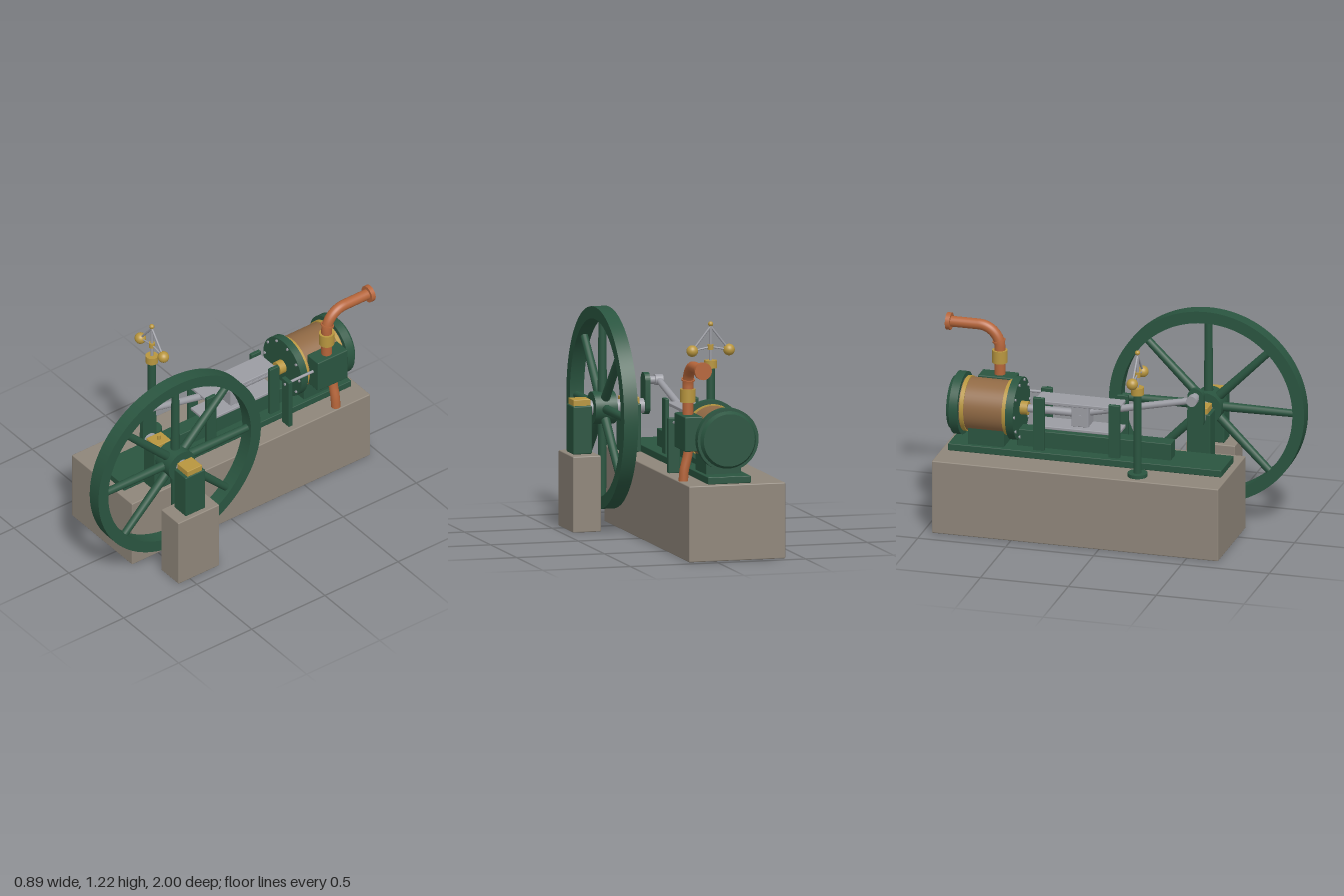
import * as THREE from 'three';
import { toCreasedNormals } from 'three/addons/utils/BufferGeometryUtils.js';
import { RoundedBoxGeometry } from 'three/addons/geometries/RoundedBoxGeometry.js';

const material = (name, color) => {
  const m = new THREE.MeshStandardMaterial({ color });
  m.name = name;
  return m;
};

export function createModel() {
  const stone = material('stone', 0x8f867a);
  const green = material('green paint', 0x2a5540);
  const brass = material('brass', 0xb8963f);
  const copper = material('copper', 0xb5653a);
  const wood = material('wood lagging', 0x916a45);
  const steel = material('steel', 0x9b9ca3);

  const model = new THREE.Group();
  model.name = 'steamEngine';
  const V = (x, y, z) => new THREE.Vector3(x, y, z);

  const add = (name, geometry, mat, parent = model) => {
    const mesh = new THREE.Mesh(geometry, mat);
    mesh.name = name;
    parent.add(mesh);
    return mesh;
  };
  // Box given by its limits on each axis
  const box = (name, mat, x0, x1, y0, y1, z0, z1, r = 0.004) => {
    const g = new RoundedBoxGeometry(x1 - x0, y1 - y0, z1 - z0, 2, r);
    g.translate((x0 + x1) / 2, (y0 + y1) / 2, (z0 + z1) / 2);
    return add(name, g, mat);
  };
  // Round bar from a to b
  const rod = (name, mat, a, b, r0, r1 = r0, sides = 24, parent = model) => {
    const dir = b.clone().sub(a);
    const mesh = add(name, new THREE.CylinderGeometry(r1, r0, dir.length(), sides), mat, parent);
    mesh.position.copy(a).add(b).multiplyScalar(0.5);
    mesh.quaternion.setFromUnitVectors(V(0, 1, 0), dir.normalize());
    return mesh;
  };
  const ball = (name, mat, p, r) => {
    const mesh = add(name, new THREE.SphereGeometry(r, 24, 16), mat);
    mesh.position.copy(p);
    return mesh;
  };

  // Foundations
  box('mainPlinth', stone, -0.4, 0.15, 0, 0.42, -0.95, 0.68, 0.006);
  box('outerPlinth', stone, 0.28, 0.44, 0, 0.42, 0.3, 0.58, 0.006);

  // Bed plate and raised rail
  box('bedPlate', green, -0.215, 0.03, 0.42, 0.46, -0.91, 0.645);
  box('bedRail', green, -0.137, -0.047, 0.455, 0.555, -0.54, 0.335);

  // Crankshaft line
  const axisY = 0.665, axisZ = 0.445, cx = -0.09;
  rod('crankshaft', steel, V(-0.02, axisY, axisZ), V(0.4, axisY, axisZ), 0.042);

  // Bearings with brass caps
  for (const [x0, x1] of [[0.028, 0.132], [0.308, 0.415]]) {
    box('bearingPedestal', green, x0, x1, 0.42, 0.685, 0.378, 0.512, 0.006);
    box('bearingCap', brass, x0 + 0.004, x1 - 0.006, 0.68, 0.72, 0.395, 0.495);
  }
  rod('oilCup', brass, V(0.08, 0.715, axisZ), V(0.08, 0.747, axisZ), 0.011);

  // Flywheel
  const wheel = new THREE.Group();
  wheel.name = 'flywheel';
  wheel.position.set(0.23, axisY, axisZ);
  model.add(wheel);
  const rimShape = new THREE.Shape().absarc(0, 0, 0.555, 0, Math.PI * 2);
  rimShape.holes.push(new THREE.Path().absarc(0, 0, 0.488, 0, Math.PI * 2, true));
  let rim = new THREE.ExtrudeGeometry(rimShape, { depth: 0.08, bevelEnabled: false, curveSegments: 64 });
  rim.translate(0, 0, -0.04).rotateY(Math.PI / 2);
  add('flywheelRim', toCreasedNormals(rim, 0.6), green, wheel);
  rod('flywheelHub', green, V(-0.063, 0, 0), V(0.062, 0, 0), 0.09, 0.09, 40, wheel);
  for (let i = 0; i < 8; i++) {
    const a = i * Math.PI / 4, c = Math.cos(a), s = Math.sin(a);
    rod('flywheelSpoke', green, V(0, 0.07 * s, 0.07 * c), V(0, 0.5 * s, 0.5 * c), 0.026, 0.021, 16, wheel);
  }

  // Crank web with rounded ends, and its pin
  const pinY = 0.805;
  const web = new THREE.Shape();
  web.absarc(0, pinY, 0.045, 0, Math.PI);
  web.absarc(0, axisY, 0.047, Math.PI, Math.PI * 2);
  const webGeo = new THREE.ExtrudeGeometry(web, { depth: 0.03, bevelEnabled: false, curveSegments: 20 });
  webGeo.rotateY(Math.PI / 2).translate(-0.032, 0, axisZ);
  add('crankWeb', toCreasedNormals(webGeo, 0.6), green);
  rod('crankPin', steel, V(-0.1, pinY, axisZ), V(-0.025, pinY, axisZ), 0.022);

  // Connecting rod, crosshead and piston rod
  const crossZ = -0.18;
  rod('connectingRod', steel, V(cx, pinY, axisZ), V(cx, axisY + 0.005, crossZ), 0.018, 0.021);
  rod('rodBigEnd', steel, V(cx - 0.022, pinY, axisZ), V(cx + 0.022, pinY, axisZ), 0.03);
  box('crosshead', steel, -0.145, -0.035, 0.605, 0.722, -0.228, -0.132);
  rod('crossheadPin', steel, V(-0.15, axisY, crossZ), V(-0.03, axisY, crossZ), 0.011);
  rod('pistonRod', steel, V(cx, axisY, crossZ), V(cx, axisY, -0.54), 0.022);
  rod('glandBrass', brass, V(cx, axisY, -0.487), V(cx, axisY, -0.54), 0.038);

  // Crosshead guides and their posts
  box('upperGuide', steel, -0.165, -0.017, 0.724, 0.743, -0.435, 0.045);
  box('lowerGuide', steel, -0.165, -0.017, 0.58, 0.598, -0.435, 0.045);
  for (const z of [-0.405, 0.025])
    for (const side of [-1, 1]) {
      const x = cx + side * 0.084;
      box('guidePost', green, x - 0.011, x + 0.011, 0.455, 0.765, z - 0.032, z + 0.032);
    }

  // Cylinder
  const along = (name, mat, z0, z1, r0, r1 = r0) =>
    rod(name, mat, V(cx, axisY - 0.005, z0), V(cx, axisY - 0.005, z1), r0, r1, 48);
  along('cylinderLagging', wood, -0.56, -0.86, 0.147);
  along('frontFlange', green, -0.528, -0.572, 0.174);
  along('rearFlange', green, -0.845, -0.892, 0.174);
  along('rearCover', green, -0.89, -0.915, 0.16, 0.145);
  for (const z of [-0.587, -0.828]) along('laggingBand', brass, z + 0.011, z - 0.011, 0.153);
  box('cylinderSaddle', green, -0.19, 0.01, 0.455, 0.56, -0.805, -0.6);
  for (let i = 0; i < 10; i++) {
    const a = i * Math.PI / 5;
    const x = cx + 0.158 * Math.cos(a), y = axisY - 0.005 + 0.158 * Math.sin(a);
    rod('flangeBolt', steel, V(x, y, -0.54), V(x, y, -0.52), 0.008, 0.008, 6);
  }

  // Valve chest, valve rod and its guide bracket
  box('valveChest', green, 0.03, 0.132, 0.59, 0.782, -0.81, -0.605, 0.006);
  rod('valveRod', steel, V(0.085, 0.7, -0.62), V(0.085, 0.7, -0.41), 0.008, 0.008, 16);
  box('valveRodBracket', green, 0.05, 0.117, 0.42, 0.725, -0.442, -0.416);

  // Steam pipe with stop valve and end flange
  const px = 0.083, pz = -0.7, topY = 1.06, bend = 0.12;
  const pipe = new THREE.CurvePath();
  pipe.add(new THREE.LineCurve3(V(px, 0.77, pz), V(px, topY - bend, pz)));
  const k = bend * 0.448;
  pipe.add(new THREE.CubicBezierCurve3(V(px, topY - bend, pz), V(px, topY - k, pz),
    V(px, topY, pz - k), V(px, topY, pz - bend)));
  pipe.add(new THREE.LineCurve3(V(px, topY, pz - bend), V(px, topY, -0.99)));
  add('steamPipe', new THREE.TubeGeometry(pipe, 60, 0.03, 24), copper);
  rod('pipeFlange', copper, V(px, topY, -0.975), V(px, topY, -1), 0.048, 0.048, 32);
  rod('pipeCollar', copper, V(px, 0.97, pz - 0.004), V(px, 0.978, pz - 0.006), 0.037, 0.037, 32);
  rod('stopValve', brass, V(px, 0.85, pz), V(px, 0.922, pz), 0.042, 0.042, 32);

  // Exhaust pipe curving down to the plinth
  const exhaust = new THREE.CatmullRomCurve3([V(0.085, 0.62, -0.735), V(0.097, 0.55, -0.735),
    V(0.114, 0.48, -0.735), V(0.12, 0.41, -0.735)]);
  add('exhaustPipe', new THREE.TubeGeometry(exhaust, 24, 0.026, 20), copper);

  // Governor column
  const gx = -0.314, gz = 0.197;
  const upright = (name, mat, y0, y1, r) => rod(name, mat, V(gx, y0, gz), V(gx, y1, gz), r);
  upright('governorBase', green, 0.42, 0.44, 0.055);
  upright('governorColumn', green, 0.43, 0.9, 0.023);
  upright('governorCollar', brass, 0.895, 0.938, 0.035);
  upright('governorSpindle', steel, 0.93, 1.135, 0.008);
  upright('governorSleeve', brass, 0.997, 1.026, 0.017);
  ball('governorFinial', brass, V(gx, 1.138, gz), 0.014);

  // Governor balls with arms and links
  for (const side of [-1, 1]) {
    const end = V(gx + side * 0.105, 0.992, gz);
    ball('governorBall', brass, end, 0.032);
    rod('governorArm', steel, V(gx, 1.125, gz), end, 0.006, 0.006, 12);
    rod('governorLink', steel, V(gx, 1.012, gz), end, 0.005, 0.005, 12);
  }

  return model;
}
